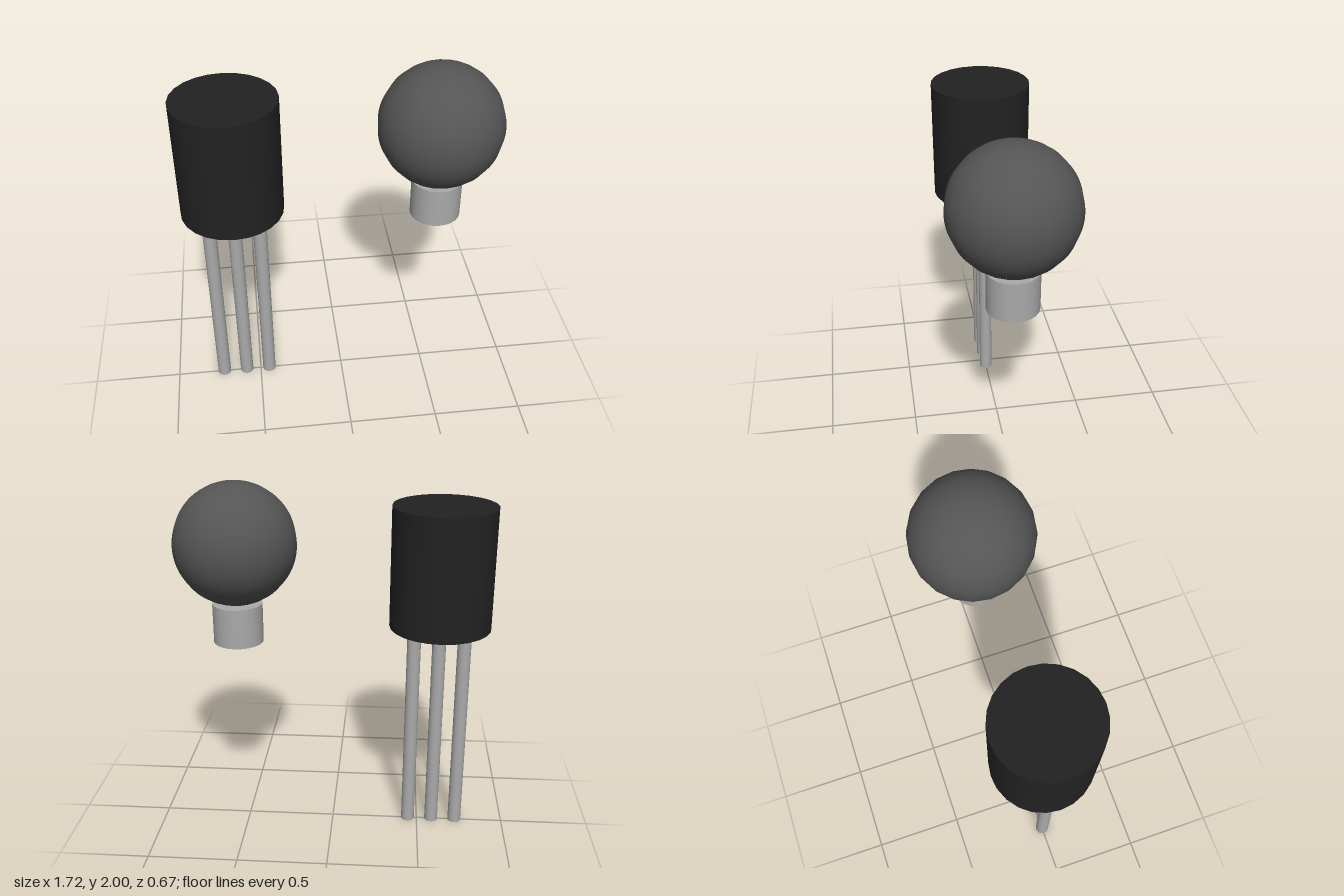
import * as THREE from 'three';

const material = (name, color) => {
  const m = new THREE.MeshStandardMaterial({ color });
  m.name = name;
  return m;
};

export function createModel() {
  const group = new THREE.Group();
  const black = material('black plastic', 0x222222);
  const grey = material('dark grey', 0x555555);
  const metal = material('light metal', 0xaaaaaa);

  const add = (name, geometry, mat, x, y) => {
    const mesh = new THREE.Mesh(geometry, mat);
    mesh.name = name;
    mesh.position.set(x, y, 0);
    group.add(mesh);
  };
  // Upright cylinder given by its bottom and top heights
  const column = (name, mat, x, radius, bottom, top, sides) =>
    add(name, new THREE.CylinderGeometry(radius, radius, top - bottom, sides), mat, x, (bottom + top) / 2);

  const bodyX = -0.585, ballX = 0.525;

  // Black body on three thin leads
  column('body', black, bodyX, 0.277, 1.225, 1.89, 24);
  ['rightLead', 'middleLead', 'leftLead'].forEach((name, i) =>
    column(name, metal, bodyX + (i - 1) * 0.138, 0.038, 0, 1.225, 20));

  // Separate ball with a short neck below it
  add('ball', new THREE.SphereGeometry(0.333, 20, 40), grey, ballX, 1.667);
  column('neck', metal, ballX, 0.138, 1.113, 1.335, 24);

  return group;
}
